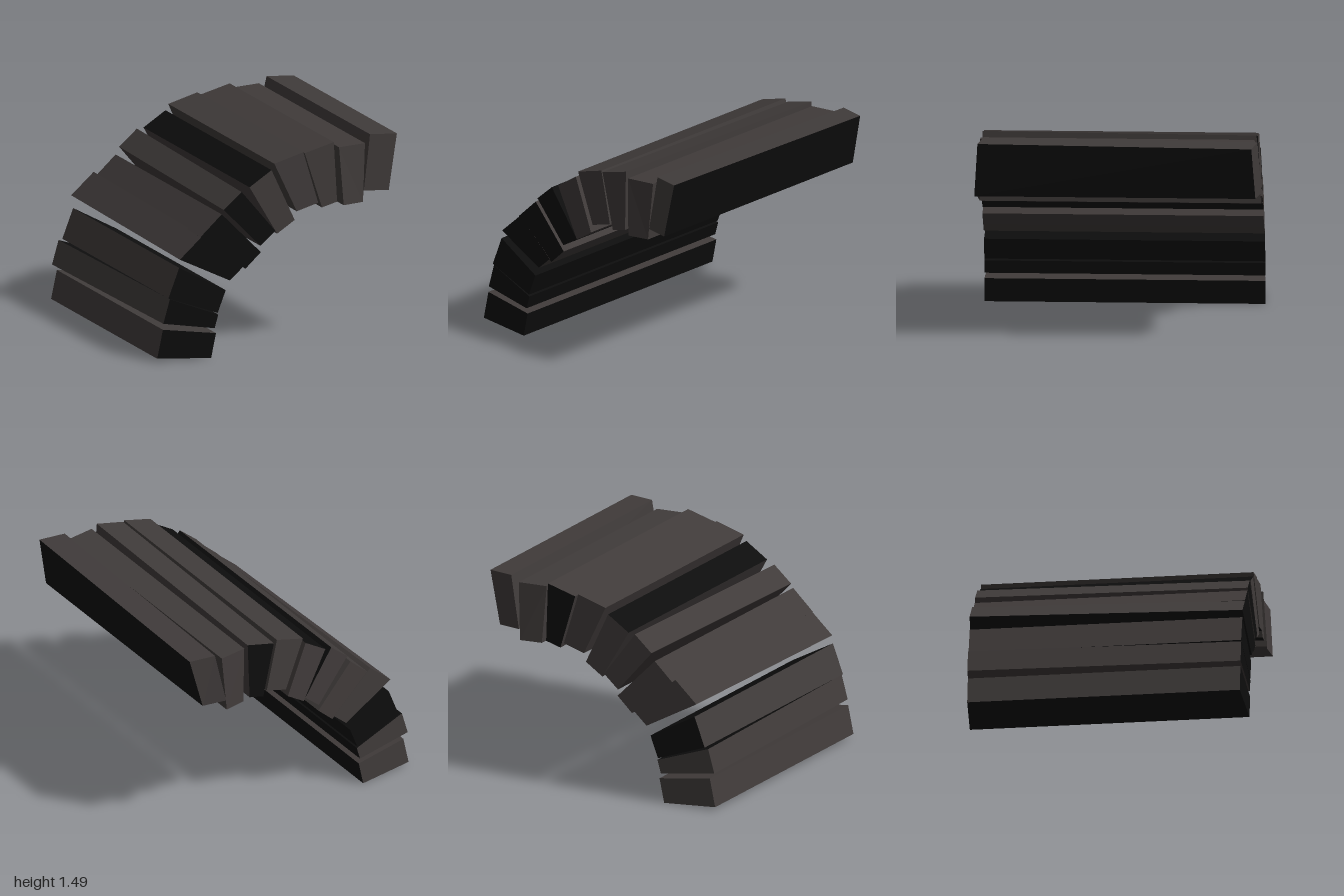
import * as THREE from 'three';

const stone = new THREE.MeshStandardMaterial({ color: 0x403b3a });
stone.name = 'charcoalStone';
const soot = new THREE.MeshStandardMaterial({ color: 0x0d0d0d });
soot.name = 'blackStone';

// The six faces by corner: 0-3 run round the front section, 4-7 the rear one
const faces = {
  front: [0, 3, 2, 1], back: [4, 5, 6, 7],
  low: [0, 4, 7, 3], outer: [1, 5, 4, 0], high: [2, 6, 5, 1], inner: [3, 7, 6, 2],
};

// Both ends of an edge of a given width and lean (degrees), centred on a point
function edge(x, y, width, lean) {
  const half = new THREE.Vector2(width / 2, 0).rotateAround(new THREE.Vector2(), THREE.MathUtils.degToRad(lean));
  const mid = new THREE.Vector2(x, y);
  return [mid.clone().sub(half), mid.clone().add(half)];
}

// Wedge block: outer and inner edges joined, run front to back.
// rear moves the outer edge at the back, slant skews both ends along z.
function makeBlock(name, dark, outer, inner, lean, { rear = [0, 0], slant = 0 } = {}) {
  const shift = new THREE.Vector2(...rear);
  const [outerLow, outerHigh] = edge(...outer, lean);
  const [innerLow, innerHigh] = edge(...inner, lean);
  const section = [outerLow, outerHigh, innerHigh, innerLow];
  const corners = [];
  for (const side of [1, -1]) {
    section.forEach((p, i) => {
      const isOuter = i < 2;
      const isHigh = i === 1 || i === 2;
      const q = side < 0 && isOuter ? p.clone().add(shift) : p;
      const reach = side * (isOuter ? 0.965 : 0.99);
      corners.push([q.x, q.y, reach + (isHigh ? slant : -slant)]);
    });
  }
  const geometry = new THREE.BufferGeometry();
  const positions = [];
  Object.entries(faces).forEach(([face, [a, b, c, d]], i) => {
    for (const k of [a, b, c, a, c, d]) positions.push(...corners[k]);
    geometry.addGroup(i * 6, 6, dark.includes(face) ? 1 : 0);
  });
  geometry.setAttribute('position', new THREE.Float32BufferAttribute(positions, 3));
  geometry.computeVertexNormals();
  const mesh = new THREE.Mesh(geometry, [stone, soot]);
  mesh.name = name;
  return mesh;
}

export function createModel() {
  const model = new THREE.Group();
  model.name = 'vaultSegment';
  // Each block: blackened faces, outer edge [x, y, width], inner edge, lean
  model.add(
    // Foot
    makeBlock('footBlock', 'front inner low', [-0.905, 0.133, 0.21], [-0.507, 0.092, 0.18], 78),
    makeBlock('lowerBlock', 'front inner high', [-0.855, 0.365, 0.18], [-0.485, 0.265, 0.1], 74, { rear: [-0.04, 0] }),
    makeBlock('lowerMiddleBlock', 'front back inner high low', [-0.8, 0.565, 0.23], [-0.445, 0.405, 0.17], 69),
    // Haunch
    makeBlock('haunchLowBlock', 'front low', [-0.668, 0.808, 0.23], [-0.33, 0.598, 0.14], 42, { rear: [-0.02, 0.035] }),
    makeBlock('haunchMiddleBlock', 'front', [-0.515, 0.955, 0.22], [-0.205, 0.68, 0.16], 43),
    makeBlock('haunchHighBlock', 'front inner high', [-0.35, 1.118, 0.18], [-0.093, 0.83, 0.15], 41, { rear: [0.01, 0.025] }),
    makeBlock('shoulderBlock', 'outer', [-0.138, 1.26, 0.2], [0.045, 0.9, 0.16], 33),
    // Crown
    makeBlock('crownLowBlock', 'inner', [0.078, 1.39, 0.23], [0.21, 1.028, 0.17], 16),
    makeBlock('crownMiddleBlock', 'inner back', [0.31, 1.443, 0.23], [0.378, 1.03, 0.12], 15, { rear: [0.015, -0.01] }),
    makeBlock('crownHighBlock', '', [0.56, 1.437, 0.21], [0.56, 1.02, 0.16], 1, { slant: -0.015 }),
    makeBlock('crownEndBlock', 'high', [0.8, 1.497, 0.19], [0.735, 1.1, 0.175], -1, { rear: [0.02, -0.015], slant: 0.018 }),
  );
  return model;
}
